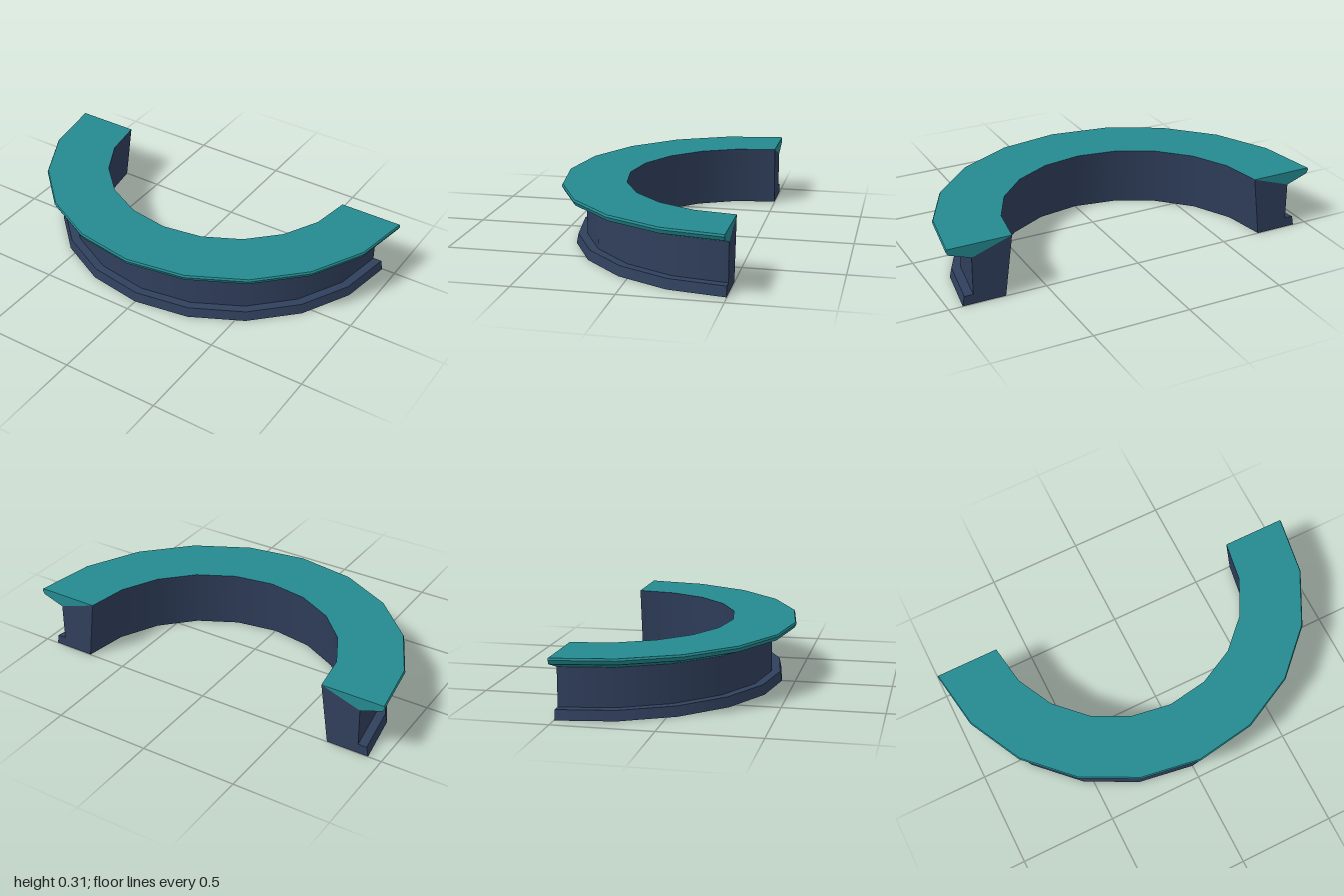
import * as THREE from 'three';

const CENTRE_Z = -0.498; // centre of the half ring
const SEGMENTS = 10;

// Cross-section corners as [radius, height]
const innerTop = [0.67, 0.314], innerFoot = [0.71, 0];
const lipTop = [0.995, 0.314], lipEdge = [1, 0.304], lipLow = [0.99, 0.284];
const wallTop = [0.875, 0.244], wallFoot = [0.875, 0.05];
const plinthTop = [0.92, 0.05], plinthFoot = [0.93, 0];

export function createModel() {
  const teal = new THREE.MeshStandardMaterial({ color: 0x248a90, side: THREE.DoubleSide });
  teal.name = 'teal';
  const navy = new THREE.MeshStandardMaterial({ color: 0x303f5c, side: THREE.DoubleSide });
  navy.name = 'navy';

  const model = new THREE.Group();
  model.name = 'curvedCounter';

  const add = (name, geometry, material) => {
    const mesh = new THREE.Mesh(geometry, material);
    mesh.name = name;
    mesh.position.z = CENTRE_Z;
    model.add(mesh);
  };

  // One band of the half ring, swept between two cross-section corners
  const band = (name, a, b, material) => {
    const points = [new THREE.Vector2(...a), new THREE.Vector2(...b)];
    add(name, new THREE.LatheGeometry(points, SEGMENTS, -Math.PI / 2, Math.PI), material);
  };

  // Flat end plate facing the back, on the side given by the sign
  const endPlate = (name, corners, sign, material) => {
    const shape = new THREE.Shape(corners.map(([r, y]) => new THREE.Vector2(-sign * r, y)));
    add(name, new THREE.ShapeGeometry(shape).rotateY(Math.PI), material);
  };

  // Hollow base, open underneath
  band('plinthFace', plinthFoot, plinthTop, navy);
  band('plinthLedge', plinthTop, wallFoot, navy);
  band('outerWall', wallFoot, wallTop, navy);
  band('innerWall', innerTop, innerFoot, navy);

  // Counter top with overhanging lip
  band('lipUnderside', wallTop, lipLow, teal);
  band('lipFace', lipLow, lipEdge, teal);
  band('lipBevel', lipEdge, lipTop, teal);
  band('counterTop', lipTop, innerTop, teal);

  // Closed ends
  for (const [side, sign] of [['left', 1], ['right', -1]]) {
    endPlate(side + 'BaseEnd',
      [innerTop, wallTop, wallFoot, plinthTop, plinthFoot, innerFoot], sign, navy);
    endPlate(side + 'CounterEnd',
      [innerTop, lipTop, lipEdge, lipLow, wallTop], sign, teal);
  }
  return model;
}
